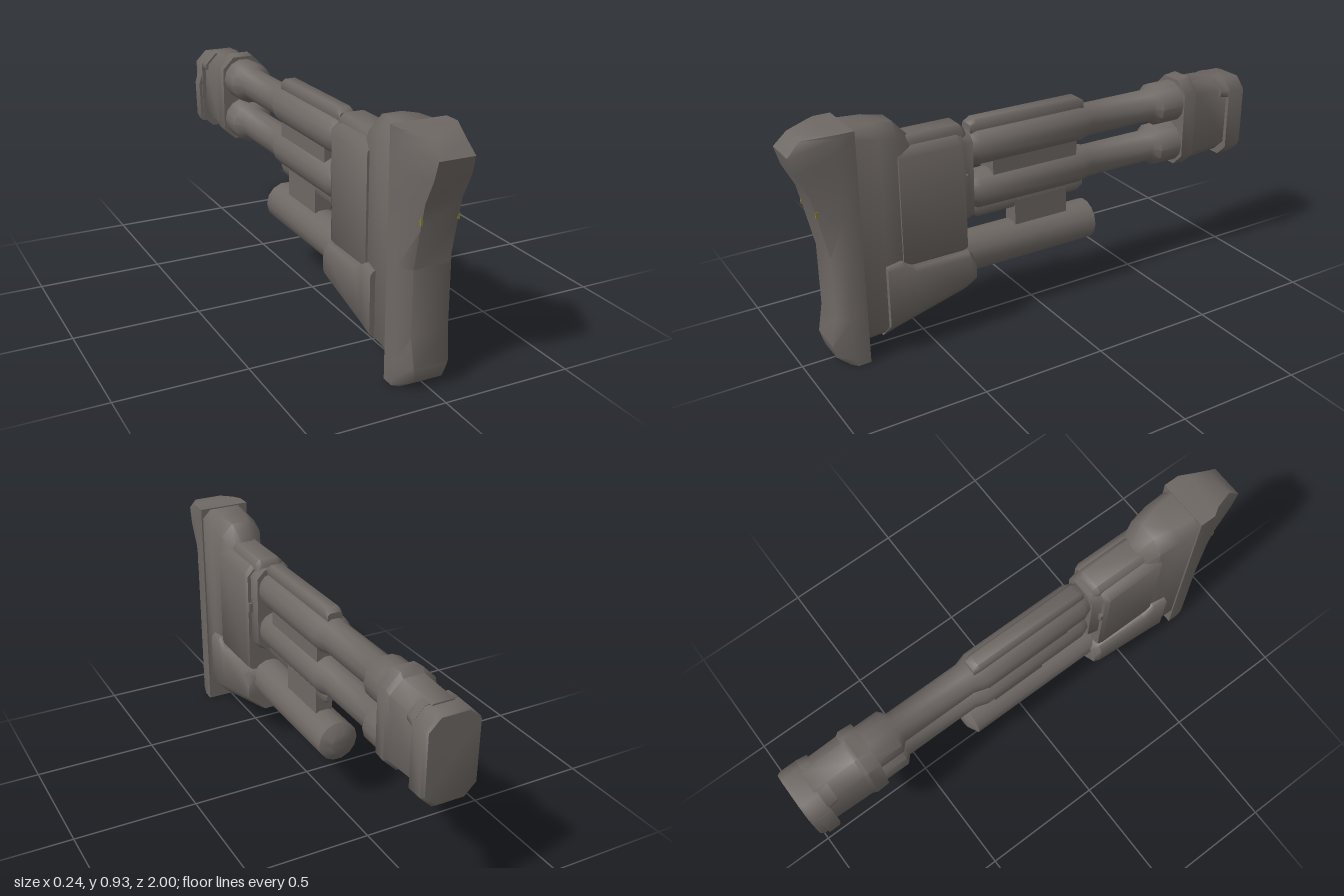
import * as THREE from 'three';
import { toCreasedNormals } from 'three/addons/utils/BufferGeometryUtils.js';

// Closed skin over a list of equal-length rings, capped at both ends
function loft(rings, crease = 0.9) {
  const n = rings[0].length, pos = rings.flat(2), idx = [];
  for (let k = 0; k < rings.length - 1; k++) {
    for (let i = 0; i < n; i++) {
      const j = (i + 1) % n, a = k * n + i, b = k * n + j;
      idx.push(a, b, b + n, a, b + n, a + n);
    }
  }
  const last = (rings.length - 1) * n;
  for (let i = 1; i < n - 1; i++) {
    idx.push(0, i + 1, i, last, last + i, last + i + 1);
  }
  const g = new THREE.BufferGeometry();
  g.setAttribute('position', new THREE.Float32BufferAttribute(pos, 3));
  g.setIndex(idx);
  return toCreasedNormals(g, crease);
}

// Chamfered rectangle across z: half width, bottom, top, top chamfer, bottom chamfer
function octagon([z, w, y0, y1, t, b = t]) {
  return [[w, y0 + b, z], [w, y1 - t, z], [w - t, y1, z], [t - w, y1, z],
    [-w, y1 - t, z], [-w, y0 + b, z], [b - w, y0, z], [w - b, y0, z]];
}

// Oval across z: half width, bottom, top
function oval([z, w, y0, y1], sides = 14) {
  return Array.from({ length: sides }, (_, i) => {
    const a = (i / sides) * Math.PI * 2;
    return [w * Math.cos(a), (y0 + y1) / 2 + ((y1 - y0) / 2) * Math.sin(a), z];
  });
}

export function createModel() {
  const model = new THREE.Group();
  const gunmetal = new THREE.MeshStandardMaterial({ color: 0x6e6864 });
  gunmetal.name = 'gunmetal';
  const olive = new THREE.MeshStandardMaterial({ color: 0x857d30 });
  olive.name = 'olive mark';

  const add = (name, geometry, material = gunmetal) => {
    const mesh = new THREE.Mesh(geometry, material);
    mesh.name = name;
    model.add(mesh);
    return mesh;
  };
  const block = (name, sections) => add(name, loft(sections.map((s) => octagon(s))));
  const tube = (name, sections) => add(name, loft(sections.map((s) => oval(s))));
  const box = (name, w, h, d, x, y, z, material) =>
    add(name, new THREE.BoxGeometry(w, h, d), material).position.set(x, y, z);

  // Shoulder pad, built upwards: height, front z, half width of the front face
  const pad = [[0, 0.84, 0.085], [0.03, 0.885, 0.055], [0.09, 0.9, 0.068], [0.2, 0.88, 0.07],
    [0.45, 0.88, 0.07], [0.6, 0.912, 0.07], [0.7, 0.935, 0.07], [0.79, 0.98, 0.07],
    [0.86, 1, 0.068], [0.91, 0.95, 0.06], [0.925, 0.87, 0.085]];
  add('shoulderPad', loft(pad.map(([y, z, f]) => {
    const w = 0.107, m = Math.min(0.835, z - 0.02);
    return [[f, y, z], [w, y, m], [w, y, 0.77], [-w, y, 0.77], [-w, y, m], [-f, y, z]];
  })));
  for (const s of [-1, 1]) box('padMark', 0.008, 0.022, 0.01, s * 0.07, 0.632, 0.916, olive);

  // Rounded spine behind the pad
  block('spine', [[0.53, 0.06, 0.36, 0.83, 0.04], [0.6, 0.088, 0.3, 0.905, 0.05],
    [0.68, 0.1, 0.075, 0.917, 0.045], [0.775, 0.1, 0.075, 0.92, 0.035]]);

  // Receiver block with top ridge, side notches and collar
  block('receiver', [[0.34, 0.092, 0.33, 0.8, 0.03], [0.36, 0.098, 0.33, 0.81, 0.03],
    [0.61, 0.098, 0.33, 0.81, 0.03]]);
  block('receiverRidge', [[0.315, 0.05, 0.7, 0.82, 0.015], [0.335, 0.06, 0.7, 0.84, 0.02],
    [0.57, 0.06, 0.7, 0.84, 0.02]]);
  block('receiverCollar', [[0.295, 0.07, 0.45, 0.805, 0.035], [0.35, 0.08, 0.44, 0.81, 0.035]]);
  for (const s of [-1, 1]) box('sideLatch', 0.02, 0.04, 0.03, s * 0.082, 0.635, 0.345);

  // Lower socket, round underneath, holding the lower tube
  block('socket', [[0.315, 0.112, 0.155, 0.315, 0.03, 0.075], [0.34, 0.12, 0.148, 0.345, 0.02, 0.08],
    [0.57, 0.12, 0.083, 0.345, 0.015, 0.085], [0.62, 0.12, 0.07, 0.38, 0.015, 0.085],
    [0.685, 0.12, 0.05, 0.375, 0.015, 0.085]]);
  tube('lowerTube', [[-0.285, 0.04, 0.25, 0.335], [-0.26, 0.083, 0.21, 0.375],
    [0.4, 0.083, 0.21, 0.375]]);

  // Two parallel rails, each with a swollen root, ridge and end sleeve
  for (const [name, mid, dir] of [['upper', 0.728, 1], ['lower', 0.55, -1]]) {
    const profile = [[-0.72, 0.09, 0.087], [-0.585, 0.09, 0.087], [-0.56, 0.062, 0.068],
      [-0.25, 0.062, 0.068], [-0.2, 0.078, 0.078], [0.26, 0.078, 0.078], [0.3, 0.06, 0.06]];
    tube(name + 'Rail', profile.map(([z, w, h]) => [z, w, mid - h, mid + h]));
    const y = mid + dir * 0.075;
    block(name + 'RailRidge', [[-0.225, 0.03, y - 0.02, y + 0.02, 0.008],
      [-0.2, 0.034, y - 0.036, y + 0.036, 0.012], [0.26, 0.034, y - 0.036, y + 0.036, 0.012],
      [0.285, 0.03, y - 0.02, y + 0.02, 0.008]]);
  }
  box('railSpacer', 0.1, 0.1, 0.38, 0, 0.638, 0.01);
  box('tubeBracket', 0.07, 0.12, 0.24, 0, 0.41, -0.025);

  // Rear housing joining both rails
  block('rearHousing', [[-0.93, 0.09, 0.475, 0.805, 0.05], [-0.755, 0.092, 0.465, 0.812, 0.05],
    [-0.74, 0.098, 0.45, 0.832, 0.055], [-0.685, 0.095, 0.455, 0.825, 0.05]]);

  // Stepped end cap, reaching further forward at the top
  block('endCap', [[-1, 0.1, 0.468, 0.795, 0.045], [-0.985, 0.107, 0.457, 0.798, 0.045],
    [-0.915, 0.107, 0.457, 0.8, 0.045]]);
  block('endCapTop', [[-0.92, 0.106, 0.725, 0.802, 0.045, 0.005],
    [-0.875, 0.1, 0.735, 0.805, 0.045, 0.005]]);

  // Release lever on one side of the cap
  add('releaseLever', loft([[0.485, -0.107], [0.51, -0.117], [0.66, -0.121], [0.7, -0.108]].map(
    ([y, x]) => [[-0.09, y, -0.92], [-0.09, y, -0.97], [x, y, -0.97], [x, y, -0.92]])));

  return model;
}
